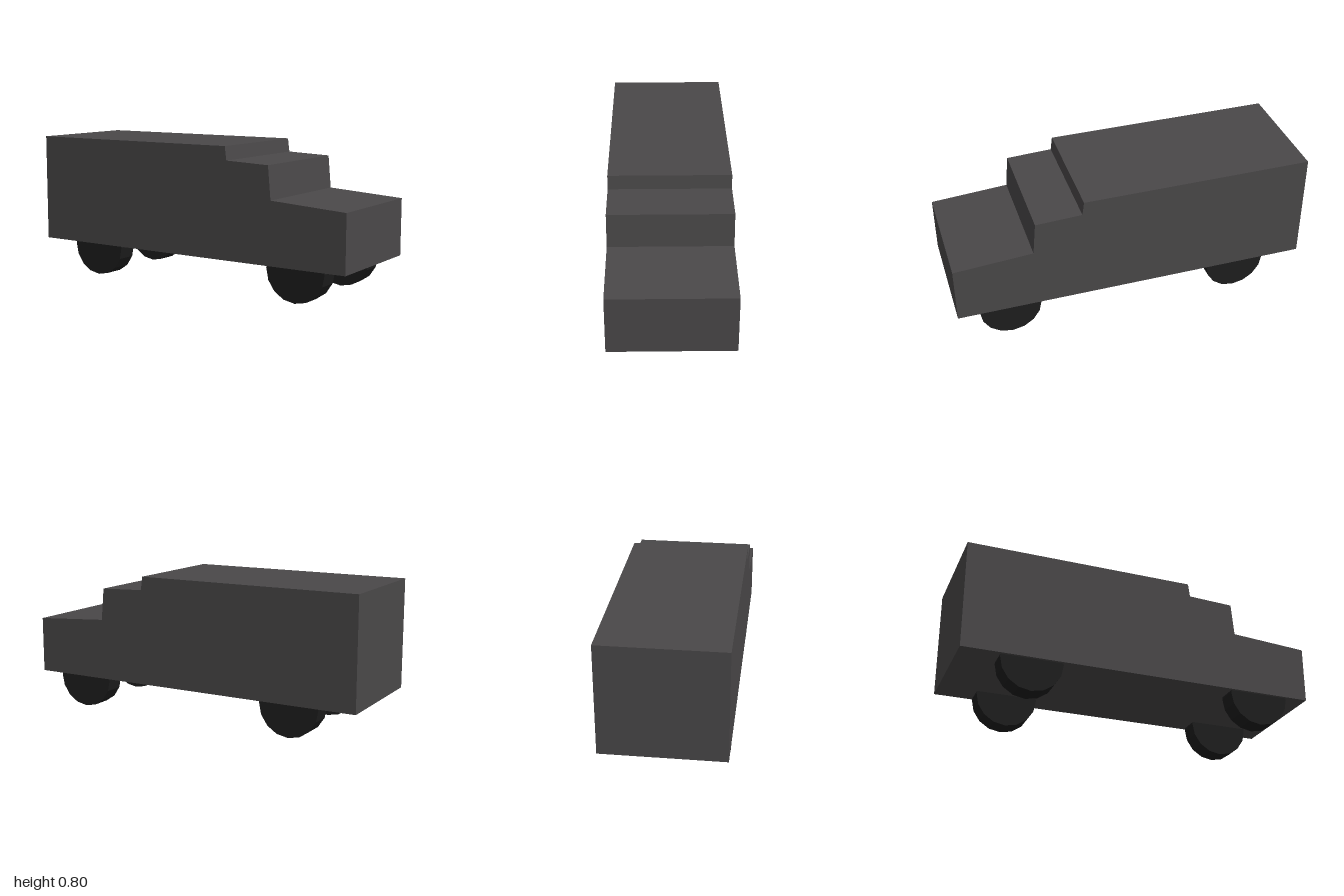
import * as THREE from 'three';

export function createModel() {
  const model = new THREE.Group();
  model.name = 'van';
  const paint = new THREE.MeshStandardMaterial({ color: 0x4a4849, flatShading: true });
  const rubber = new THREE.MeshStandardMaterial({ color: 0x1e1e1e, flatShading: true });

  // Body: stepped side profile extruded across the width
  const width = 0.664;
  const profile = new THREE.Shape([
    [-1, 0.183], [1, 0.183], [1, 0.5], [0.565, 0.528],
    [0.548, 0.71], [0.292, 0.72], [0.282, 0.796], [-1, 0.796],
  ].map(([x, y]) => new THREE.Vector2(x, y)));
  const bodyGeometry = new THREE.ExtrudeGeometry(profile, { depth: width, bevelEnabled: false });
  bodyGeometry.translate(0, 0, -width / 2);
  const body = new THREE.Mesh(bodyGeometry, paint);
  body.name = 'body';
  model.add(body);

  // Wheels: sixteen-sided discs partly sunk into the body
  const radius = 0.172;
  const wheelGeometry = new THREE.CylinderGeometry(radius, radius, 0.113, 16).rotateX(Math.PI / 2);
  for (const [end, x] of [['rear', -0.615], ['front', 0.705]]) {
    for (const [side, z] of [['Right', 0.26], ['Left', -0.257]]) {
      const wheel = new THREE.Mesh(wheelGeometry, rubber);
      wheel.name = `${end}${side}Wheel`;
      wheel.position.set(x, radius, z);
      model.add(wheel);
    }
  }
  return model;
}
